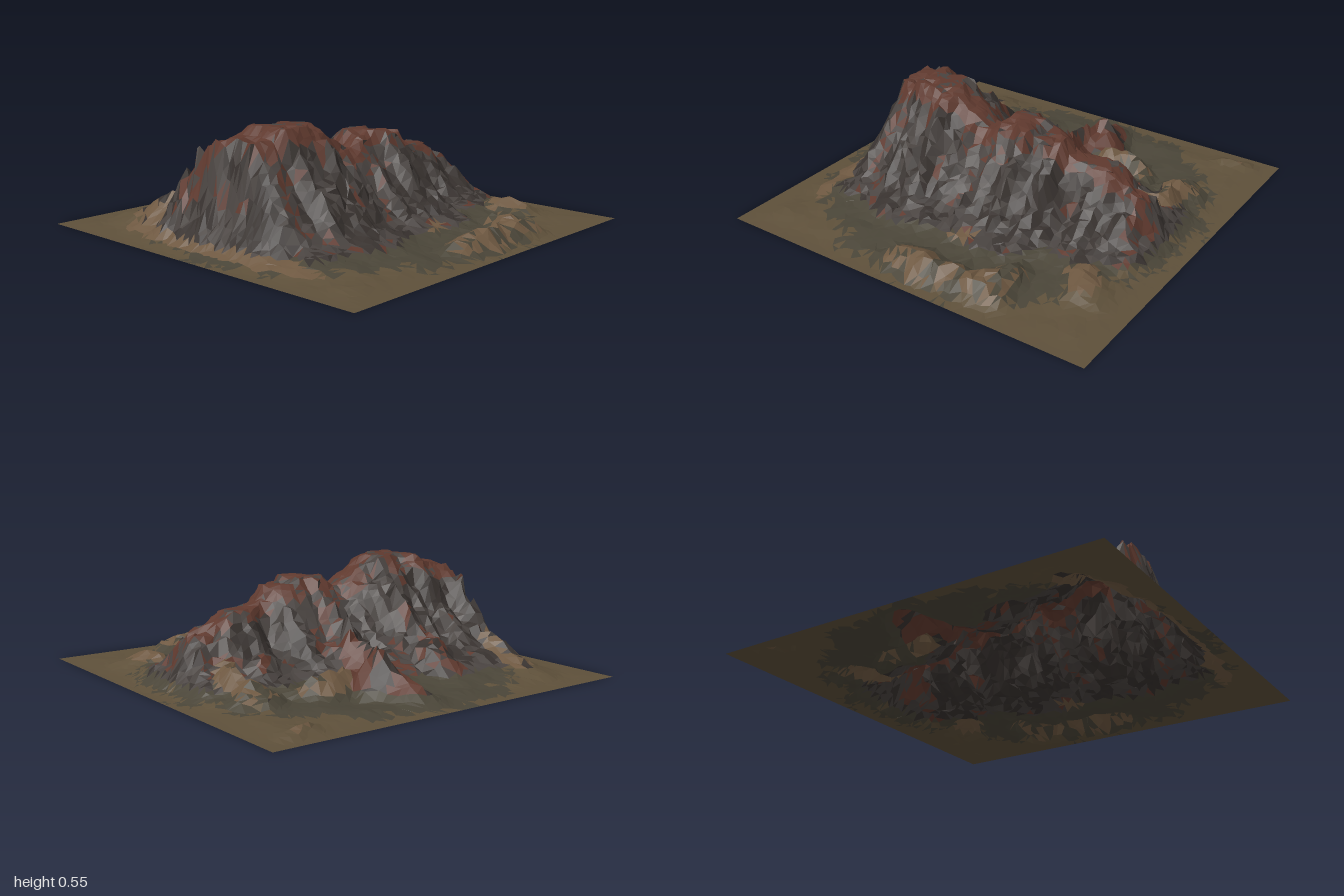
import * as THREE from 'three';

const clamp = (v, a = 0, b = 1) => Math.min(b, Math.max(a, v));

// Piecewise-linear curve through [position, value] points
function curve(points, t) {
  if (t <= points[0][0]) return points[0][1];
  for (let i = 1; i < points.length; i++) {
    const [a, va] = points[i - 1], [b, vb] = points[i];
    if (t <= b) return va + (vb - va) * (t - a) / (b - a);
  }
  return points[points.length - 1][1];
}

// Repeatable hash and smooth value noise, both 0..1
function hash(i, j) {
  let n = Math.imul(i, 374761393) + Math.imul(j, 668265263);
  n = Math.imul(n ^ (n >>> 13), 1274126177);
  return ((n ^ (n >>> 16)) >>> 0) / 4294967296;
}
function noise(x, z) {
  const i = Math.floor(x), j = Math.floor(z);
  const u = (x - i) ** 2 * (3 - 2 * (x - i)), v = (z - j) ** 2 * (3 - 2 * (z - j));
  const a = hash(i, j) * (1 - u) + hash(i + 1, j) * u;
  const b = hash(i, j + 1) * (1 - u) + hash(i + 1, j + 1) * u;
  return a * (1 - v) + b * v;
}

// Stepped skyline of the main ridge, from back to front
const CREST = [[-1, 0], [-0.92, 0.02], [-0.85, 0.1], [-0.77, 0.24], [-0.62, 0.3], [-0.57, 0.345],
  [-0.45, 0.345], [-0.36, 0.37], [-0.33, 0.44], [-0.19, 0.44], [-0.17, 0.47], [0, 0.47], [0.05, 0.4],
  [0.1, 0.4], [0.22, 0.5], [0.3, 0.545], [0.53, 0.545], [0.56, 0.5], [0.7, 0.5], [0.76, 0.26],
  [0.81, 0.11], [0.88, 0.025], [1, 0]];
const CENTRE = [[-0.8, 0.05], [0, 0.08], [0.45, 0.09], [0.7, -0.04]];
const PLATEAU = [[-0.8, 0.02], [-0.3, 0.05], [-0.1, 0.07], [0.1, 0.04], [0.4, 0.1], [0.7, 0.1]];
const LEFT_WIDTH = [[-0.8, 0.55], [-0.5, 0.6], [-0.2, 0.8], [0.1, 1]];
// Flank profiles: share of the crest height at a distance from the plateau edge
const FLANK_RIGHT = [[0, 1], [0.05, 0.9], [0.12, 0.7], [0.22, 0.39], [0.32, 0.19], [0.5, 0.05], [0.7, 0]];
const FLANK_LEFT = [[0, 1], [0.1, 0.83], [0.2, 0.58], [0.3, 0.38], [0.45, 0.2], [0.6, 0.08], [0.8, 0]];

// Spurs: x1, z1, height1, x2, z2, height2, half width
const SPURS = [
  [-0.05, -0.04, 0.42, -0.45, -0.08, 0.17, 0.17], [-0.45, -0.08, 0.17, -0.63, -0.14, 0.21, 0.17],
  [-0.63, -0.14, 0.21, -0.86, -0.08, 0.06, 0.16], [-0.1, 0.3, 0.46, -0.58, 0.31, 0.12, 0.18],
  [-0.2, 0.66, 0.38, -0.62, 0.69, 0.1, 0.15], [0.15, 0, 0.4, 0.5, 0.03, 0.08, 0.13],
  [0.15, 0.45, 0.48, 0.48, 0.4, 0.11, 0.15], [0.1, -0.3, 0.4, 0.42, -0.32, 0.1, 0.13],
  [0, -0.5, 0.3, -0.25, -0.5, 0.1, 0.12],
];
// Foothills in the same form
const HILLS = [
  [0.82, -0.42, 0.07, 0.84, -0.1, 0.105, 0.14], [0.84, -0.1, 0.105, 0.83, 0.14, 0.06, 0.13],
  [0.67, -0.42, 0.09, 0.75, -0.36, 0.085, 0.12], [0.48, -0.68, 0.09, 0.57, -0.74, 0.085, 0.16],
  [-0.18, -0.7, 0.17, -0.42, -0.7, 0.1, 0.15], [-0.48, -0.42, 0.11, -0.48, -0.22, 0.14, 0.12],
  [0.5, -0.1, 0.08, 0.56, -0.06, 0.06, 0.11], [-0.91, -0.82, 0.04, -0.88, -0.72, 0.045, 0.1],
];

function ridgeHeight(list, px, pz) {
  // Wandering ridge lines
  const x = px + 0.06 * (noise(px * 9, pz * 9 + 20) - 0.5);
  const z = pz + 0.09 * (noise(px * 9 + 50, pz * 9) - 0.5);
  let best = 0;
  for (const [x1, z1, h1, x2, z2, h2, w] of list) {
    const dx = x2 - x1, dz = z2 - z1;
    const t = clamp(((x - x1) * dx + (z - z1) * dz) / (dx * dx + dz * dz));
    const d = Math.hypot(x - x1 - t * dx, z - z1 - t * dz) / w;
    if (d < 1) best = Math.max(best, (h1 + (h2 - h1) * t) * (1 - d) ** 1.2);
  }
  return best;
}

function mountainHeight(x, z) {
  const side = x - curve(CENTRE, z) - 0.06 * (noise(3, z * 13) - 0.5);
  const d = Math.max(0, Math.abs(side) - curve(PLATEAU, z) - 0.05 * (noise(x * 3, z * 16 + 11) - 0.5));
  const f = side > 0 ? curve(FLANK_RIGHT, d / (z < -0.4 ? 0.9 : 1))
    : curve(FLANK_LEFT, d / curve(LEFT_WIDTH, z));
  // Gullies run down the flanks, and buttresses flute both end cliffs
  const gully = Math.abs(2 * noise(x * 4 + 9, z * 15 + 30) - 1);
  const flute = z + Math.sign(z) * clamp((Math.abs(z) - 0.6) * 8) * 0.06 * (noise(x * 17, 8) - 0.4);
  return curve(CREST, flute) * f * (1 - 0.9 * f * (1 - f) * gully);
}

function terrainHeight(x, z) {
  const edge = clamp((1 - Math.max(Math.abs(x), Math.abs(z))) / 0.16);
  const mountain = mountainHeight(x, z);
  const spur = ridgeHeight(SPURS, x, z);
  const hill = ridgeHeight(HILLS, x, z);
  let h = Math.max(mountain, Math.min(spur, curve(CREST, z)), hill);
  // Broken rock surface and uneven ground
  h += (noise(x * 20, z * 20) - 0.55) * 0.4 * Math.min(h, 0.15);
  h += edge * (0.018 * noise(x * 6 + 40, z * 6) + 0.008 * noise(x * 15, z * 15 + 60));
  return Math.max(0, Math.min(h, curve(CREST, z) + (hill > mountain ? 0.1 : 0.004)) * edge);
}

// Chooses the rock type of one facet; grain varies facet by facet
function surfaceAt(x, y, z, slope, grain) {
  const mountain = mountainHeight(x, z), spur = ridgeHeight(SPURS, x, z);
  const hill = ridgeHeight(HILLS, x, z);
  const patch = 0.65 * noise(x * 9 + 70, z * 16 + 5) + 0.35 * grain;
  if (hill > mountain && hill > spur && hill > 0.035) return patch > 0.42 ? 'tanFoothills' : 'scree';
  if (y < 0.05) {
    if (z > 0.78 && Math.abs(x) < 0.65 && y > 0.015) return 'tanFoothills';
    return Math.hypot(x, z) + 0.25 * (patch - 0.5) > 0.95 ? 'sandyGround' : 'scree';
  }
  if (y > 0.86 * curve(CREST, z) && y > 0.2 && slope > 0.35) return patch > 0.36 ? 'redCaprock' : 'slateCliffs';
  if (x < -0.45 && z > 0.6 && slope > 0.5 && patch > 0.4) return 'tanFoothills';
  if (spur > mountain + 0.02 && x < 0 && slope > 0.4 && patch > 0.45) return 'redCaprock';
  if (patch > 0.75) return 'redCaprock';
  return patch > 0.47 ? 'slateCliffs' : 'darkCliffs';
}

const COLORS = {
  sandyGround: 0x5e503a, scree: 0x4a4538, tanFoothills: 0x6e5841,
  redCaprock: 0x5f392e, slateCliffs: 0x494340, darkCliffs: 0x38322f,
};

export function createModel() {
  const group = new THREE.Group();
  group.name = 'mountainTerrain';
  const N = 60;

  // Irregular grid, denser along the central ridge
  const vertices = [];
  for (let j = 0; j <= N; j++) {
    for (let i = 0; i <= N; i++) {
      const inner = (k) => (k > 0 && k < N ? 1 : 0);
      const s = (i + inner(i) * 0.8 * (hash(i, j) - 0.5)) / N * 2 - 1;
      const z = (j + inner(j) * 0.8 * (hash(i + 500, j) - 0.5)) / N * 2 - 1;
      const x = s * (0.75 + 0.25 * s * s);
      vertices.push(new THREE.Vector3(x, terrainHeight(x, z), z));
    }
  }

  // Sort the facets into one surface per rock type
  const facets = Object.fromEntries(Object.keys(COLORS).map((name) => [name, []]));
  const normal = new THREE.Vector3();
  const addFacet = (a, b, c, grain) => {
    new THREE.Triangle(a, b, c).getNormal(normal);
    const mid = a.clone().add(b).add(c).divideScalar(3);
    const list = facets[surfaceAt(mid.x, mid.y, mid.z, normal.y, grain)];
    for (const p of [a, b, c]) list.push(p.x, p.y, p.z);
  };
  for (let j = 0; j < N; j++) {
    for (let i = 0; i < N; i++) {
      const k = j * (N + 1) + i;
      const a = vertices[k], b = vertices[k + 1], c = vertices[k + N + 1], d = vertices[k + N + 2];
      const g1 = hash(i + 900, j), g2 = hash(i, j + 900);
      // Split along the flatter diagonal so ridges stay crisp
      if (Math.abs(a.y - d.y) < Math.abs(b.y - c.y)) {
        addFacet(a, c, d, g1);
        addFacet(a, d, b, g2);
      } else {
        addFacet(a, c, b, g1);
        addFacet(b, c, d, g2);
      }
    }
  }

  for (const [name, positions] of Object.entries(facets)) {
    const geometry = new THREE.BufferGeometry();
    geometry.setAttribute('position', new THREE.Float32BufferAttribute(positions, 3));
    geometry.computeVertexNormals();
    const material = new THREE.MeshStandardMaterial({
      color: COLORS[name], flatShading: true, side: THREE.DoubleSide,
    });
    const mesh = new THREE.Mesh(geometry, material);
    mesh.name = name;
    group.add(mesh);
  }
  return group;
}
